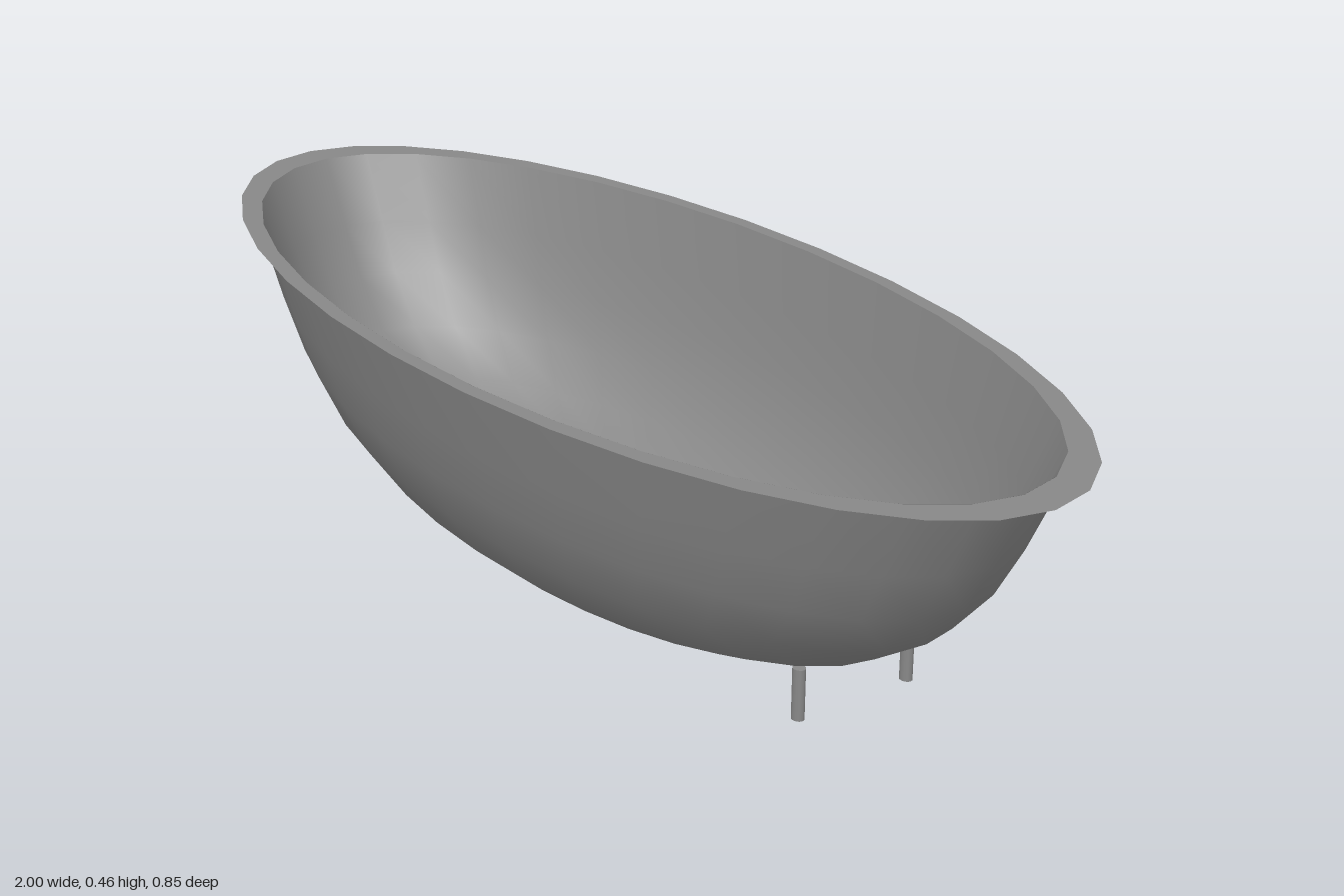
import * as THREE from 'three';

const SIDES = 32;
const DEPTH = 0.424; // width of the oval relative to its length
const RIM_Y = 0.457;

// Oval surface: a turned profile squashed in z
function oval(name, profile, material) {
  const points = profile.map(([r, y]) => new THREE.Vector2(r, y));
  const geometry = new THREE.LatheGeometry(points, SIDES);
  geometry.scale(1, 1, DEPTH);
  const mesh = new THREE.Mesh(geometry, material);
  mesh.name = name;
  return mesh;
}

export function createModel() {
  const group = new THREE.Group();
  group.name = 'bathtub';
  const grey = new THREE.MeshStandardMaterial({ color: 0x888888, side: THREE.DoubleSide });
  grey.name = 'grey enamel';

  // Outer shell, from the bottom up to the rim
  const outer = [
    [0, 0.012], [0.2, 0.013], [0.37, 0.018], [0.53, 0.04], [0.655, 0.085],
    [0.765, 0.157], [0.84, 0.24], [0.893, 0.33], [0.955, RIM_Y],
  ];
  group.add(oval('outerShell', outer, grey));

  // Inner basin, slightly smaller and running from the rim down
  const inner = outer
    .map(([r, y]) => [r * 0.984, y === RIM_Y ? RIM_Y : y + 0.012])
    .reverse();
  group.add(oval('innerBasin', inner, grey));

  // Flat lip around the top
  group.add(oval('rim', [[1, RIM_Y], [0.94, RIM_Y]], grey));

  // Four short peg legs
  const legGeometry = new THREE.CylinderGeometry(0.0115, 0.0115, 0.085, 12);
  legGeometry.scale(1, 1, 0.85);
  for (const x of [-0.61, 0.61]) {
    for (const z of [-0.106, 0.106]) {
      const leg = new THREE.Mesh(legGeometry, grey);
      leg.name = 'leg';
      leg.position.set(x, 0.0425, z);
      group.add(leg);
    }
  }
  return group;
}
